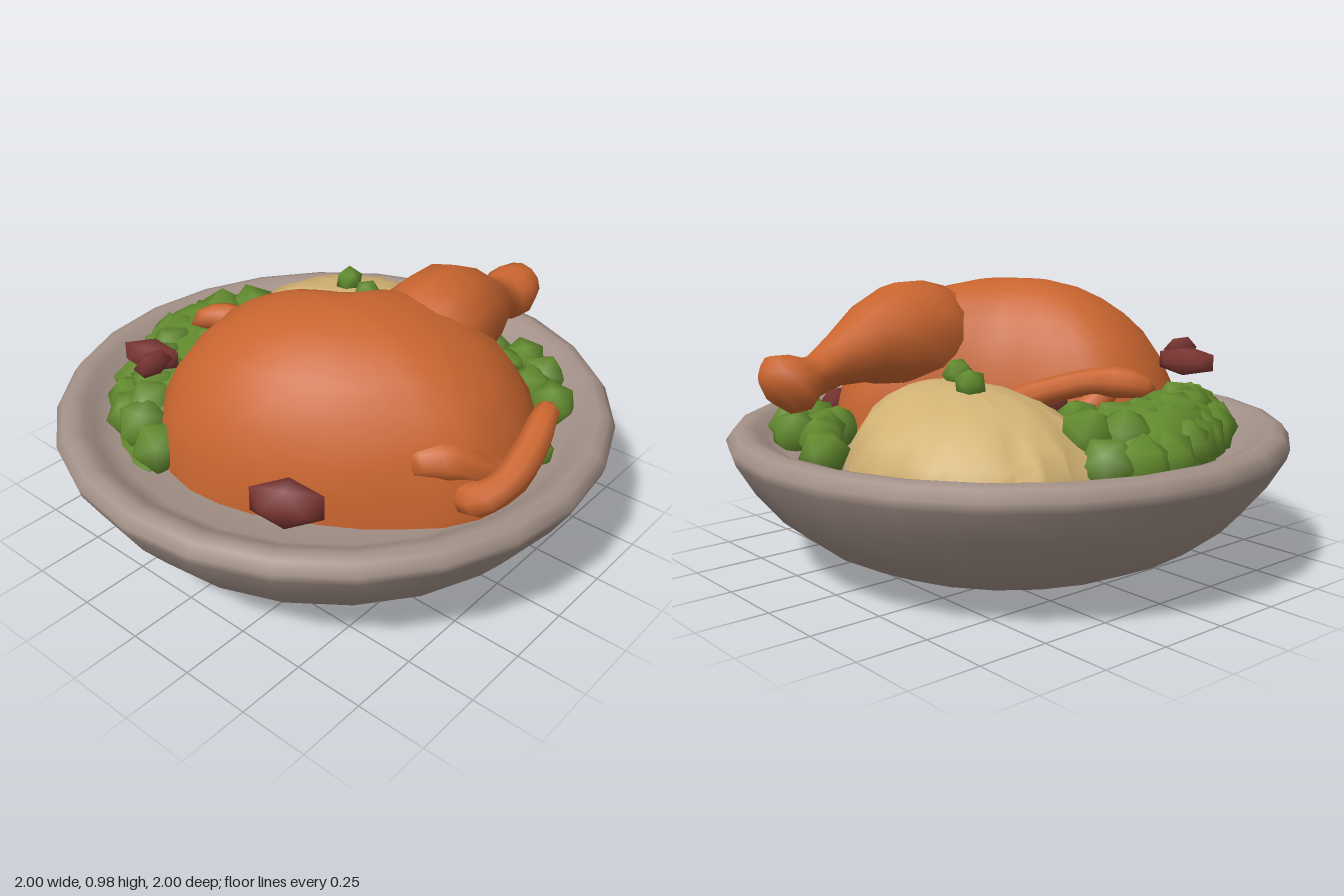
import * as THREE from 'three';
import { mergeVertices } from 'three/addons/utils/BufferGeometryUtils.js';

const V = (x, y, z) => new THREE.Vector3(x, y, z);
const paint = (name, color) => {
  const m = new THREE.MeshStandardMaterial({ color });
  m.name = name;
  return m;
};

// Small seeded random source
function seeded(seed) {
  return () => {
    seed = (seed * 16807) % 2147483647;
    return seed / 2147483647;
  };
}

// Weld the corners so the surface shades smoothly
function smooth(geo) {
  geo.deleteAttribute('uv');
  geo.deleteAttribute('normal');
  const g = mergeVertices(geo, 1e-4);
  g.computeVertexNormals();
  return g;
}

// Skin closed rings of points, one after the other
function loft(rings) {
  const n = rings[0].length, index = [];
  for (let i = 0; i < rings.length - 1; i++) {
    for (let j = 0; j < n; j++) {
      const a = i * n + j, b = i * n + (j + 1) % n;
      index.push(a, a + n, b, b, a + n, b + n);
    }
  }
  const g = new THREE.BufferGeometry().setFromPoints(rings.flat());
  g.setIndex(index);
  return smooth(g);
}

// Rounded mound rising from a plan outline of [x, z] points (clockwise from above) to a peak
function mound(outline, peak, base, rows, sides, full, bump) {
  const plan = new THREE.CatmullRomCurve3(outline.map(([x, z]) => V(x, 0, z)), true).getSpacedPoints(sides).slice(0, sides);
  const rings = [];
  for (let i = 0; i <= rows; i++) {
    const a = (i / rows) * Math.PI / 2;
    rings.push(plan.map((p, j) => {
      const k = i === rows ? 0 : Math.cos(a) ** full * (1 + bump(i, j));
      return V(peak.x + (p.x - peak.x) * k, base + (peak.y - base) * Math.sin(a), peak.z + (p.z - peak.z) * k);
    }));
  }
  return loft(rings);
}

// Tapered tube through [x, y, z] points
function limb(points, radii, segs = 16, sides = 8) {
  const path = new THREE.CatmullRomCurve3(points.map(p => V(...p)));
  const g = new THREE.TubeGeometry(path, segs, 1, sides);
  const pos = g.attributes.position, v = V(0, 0, 0);
  for (let i = 0; i <= segs; i++) {
    const c = path.getPointAt(i / segs);
    const f = (i / segs) * (radii.length - 1), k = Math.min(Math.floor(f), radii.length - 2);
    const end = i === 0 || i === segs;
    const r = end ? 0 : THREE.MathUtils.lerp(radii[k], radii[k + 1], f - k);
    for (let j = 0; j <= sides; j++) {
      const id = i * (sides + 1) + j;
      v.fromBufferAttribute(pos, id).sub(c).multiplyScalar(r).add(c);
      pos.setXYZ(id, v.x, v.y, v.z);
    }
  }
  return smooth(g);
}

export function createModel() {
  const root = new THREE.Group();
  root.name = 'roastDinner';
  const stone = paint('bowl stoneware', 0xa39188);
  const roast = paint('roast skin', 0xc9652f);
  const mash = paint('mashed potato', 0xd2b274);
  const green = paint('green vegetable', 0x638c2e);
  const red = paint('red berry', 0x7a3532);
  const add = (name, geo, mat, parent = root) => {
    const m = new THREE.Mesh(geo, mat);
    m.name = name;
    parent.add(m);
    return m;
  };
  const group = name => {
    const g = new THREE.Group();
    g.name = name;
    root.add(g);
    return g;
  };
  const rnd = seeded(41);

  // Bowl: flat foot, flared wall, rolled rim and shallow inside
  const profile = [[0, 0], [0.4, 0], [0.57, 0.045], [0.71, 0.11], [0.84, 0.21], [0.93, 0.32],
    [0.99, 0.42], [1, 0.455], [0.975, 0.49], [0.94, 0.5], [0.9, 0.49], [0.87, 0.46], [0.8, 0.42], [0.6, 0.4], [0, 0.4]];
  add('bowl', new THREE.LatheGeometry(profile.map(([x, y]) => new THREE.Vector2(x, y)), 24), stone);

  // Roast bird
  const bird = group('roastBird');
  add('body', mound([[-0.2, -0.4], [-0.1, -0.32], [0, -0.18], [0.08, -0.02], [0.2, 0.1], [0.4, 0.27], [0.42, 0.47],
    [0.3, 0.67], [0.1, 0.8], [-0.08, 0.83], [-0.25, 0.79], [-0.36, 0.68], [-0.5, 0.52], [-0.6, 0.36], [-0.68, 0.17],
    [-0.7, 0], [-0.66, -0.18], [-0.57, -0.31], [-0.46, -0.38], [-0.3, -0.42]],
  V(-0.18, 0.98, 0.17), 0.42, 9, 30, 0.9, () => (rnd() - 0.5) * 0.02), roast, bird);

  // Drumstick: [x, centre y, centre z, half height, half depth]
  const legRings = [[-0.04, 0.78, 0.32, 0, 0], [-0.02, 0.78, 0.32, 0.1, 0.11], [0.05, 0.78, 0.315, 0.175, 0.18],
    [0.15, 0.78, 0.31, 0.2, 0.21], [0.28, 0.79, 0.3, 0.19, 0.19], [0.42, 0.775, 0.295, 0.14, 0.15],
    [0.56, 0.73, 0.27, 0.09, 0.095], [0.66, 0.69, 0.245, 0.072, 0.078], [0.71, 0.67, 0.23, 0.09, 0.1],
    [0.76, 0.675, 0.23, 0.1, 0.11], [0.82, 0.695, 0.24, 0.08, 0.085], [0.85, 0.7, 0.24, 0.035, 0.04], [0.85, 0.7, 0.24, 0, 0]];
  add('drumstick', loft(legRings.map(([x, y, z, h, d]) => Array.from({ length: 12 }, (_, j) => {
    const a = (j / 12) * Math.PI * 2;
    return V(x, y + h * Math.cos(a), z - d * Math.sin(a));
  }))), roast, bird);

  // Wings: a folded upper part and a curling tip
  add('frontWing', limb([[-0.18, 0.5, 0.68], [-0.25, 0.53, 0.8], [-0.18, 0.58, 0.855], [-0.06, 0.65, 0.86], [0.04, 0.71, 0.84], [0.1, 0.73, 0.83]],
    [0.06, 0.06, 0.05, 0.055, 0.05, 0.035]), roast, bird);
  add('frontWingUpper', limb([[-0.34, 0.62, 0.58], [-0.25, 0.63, 0.68], [-0.15, 0.57, 0.77], [-0.02, 0.53, 0.82]],
    [0.06, 0.075, 0.05, 0.03]), roast, bird);
  add('backWing', limb([[-0.2, 0.65, -0.53], [-0.13, 0.67, -0.49], [-0.07, 0.67, -0.37], [0.03, 0.64, -0.27], [0.1, 0.6, -0.18], [0.1, 0.54, -0.06], [0.02, 0.5, 0.02]],
    [0.03, 0.055, 0.045, 0.045, 0.05, 0.05, 0.04]), roast, bird);
  add('backWingUpper', limb([[-0.18, 0.66, -0.27], [-0.14, 0.64, -0.35], [-0.06, 0.58, -0.36], [0.03, 0.5, -0.28]],
    [0.04, 0.05, 0.05, 0.04]), roast, bird);

  // Mashed potato with a ridged edge and an uneven top
  add('mashedPotato', mound([[0.2, -0.69], [0.4, -0.71], [0.58, -0.62], [0.71, -0.45], [0.77, -0.25], [0.73, -0.06],
    [0.62, 0.1], [0.42, 0.19], [0.22, 0.14], [0.08, -0.05], [0.02, -0.28], [0.07, -0.52]],
  V(0.37, 0.69, -0.1), 0.38, 8, 48, 0.9, (i, j) => (j % 2 ? 0.02 : -0.035) + (rnd() - 0.5) * 0.09), mash);

  // Heap of green vegetables behind the bird, its lumps sunk into one mass
  const greens = group('greens');
  add('greensHeap', mound([[-0.72, -0.2], [-0.66, -0.42], [-0.53, -0.59], [-0.3, -0.71], [-0.1, -0.81], [0.1, -0.82],
    [0.25, -0.72], [0.26, -0.5], [0.1, -0.36], [-0.2, -0.34], [-0.5, -0.2]], V(-0.12, 0.62, -0.57), 0.38, 6, 32, 0.65,
  () => (rnd() - 0.5) * 0.06), green, greens);
  const nugget = smooth(new THREE.IcosahedronGeometry(1, 0));
  const pea = (x, y, z, r) => {
    const m = add('pea', nugget, green, greens);
    m.position.set(x, y, z);
    m.scale.set(r, r, r);
    m.rotation.set(rnd() * 3, rnd() * 3, 0);
  };
  const rows = [
    [[[-0.65, -0.22], [-0.59, -0.41], [-0.47, -0.55], [-0.25, -0.65], [-0.08, -0.74], [0.08, -0.75], [0.19, -0.69]], 11, 0.49, 0.1],
    [[[-0.54, -0.37], [-0.36, -0.52], [-0.12, -0.62], [0.08, -0.65], [0.17, -0.58]], 8, 0.54, 0.1],
    [[[-0.4, -0.44], [-0.2, -0.5], [0, -0.5], [0.08, -0.44]], 5, 0.55, 0.085]];
  for (const [pts, count, y, r] of rows) {
    const path = new THREE.CatmullRomCurve3(pts.map(([x, z]) => V(x, y, z)));
    for (const p of path.getSpacedPoints(count - 1)) pea(p.x, p.y + (rnd() - 0.5) * 0.03, p.z, r);
  }

  // Loose peas beside the drumstick and on the potato
  for (const [x, y, z, r] of [[0.77, 0.48, 0.01, 0.085], [0.66, 0.47, 0.38, 0.09], [0.56, 0.47, 0.36, 0.085],
    [0.6, 0.47, 0.5, 0.09], [0.5, 0.47, 0.51, 0.09], [0.46, 0.47, 0.63, 0.09], [0.64, 0.47, 0.24, 0.085],
    [0.48, 0.46, 0.4, 0.09], [0.2, 0.45, 0.74, 0.06],
    [0.39, 0.7, -0.265, 0.055], [0.33, 0.71, -0.125, 0.055]]) pea(x, y, z, r);

  // Red berries tucked around the bird: position, half sizes, turn
  const berries = group('berries');
  for (const [x, y, z, sx, sy, sz, turn] of [[-0.5, 0.7, -0.4, 0.065, 0.055, 0.12, 0.35], [-0.57, 0.73, -0.31, 0.08, 0.045, 0.04, 0],
    [-0.65, 0.53, 0.37, 0.07, 0.085, 0.14, 0.5], [0.3, 0.49, 0.68, 0.065, 0.065, 0.06, 0], [0, 0.6, -0.2, 0.055, 0.07, 0.1, 0.3]]) {
    const m = add('berry', nugget, red, berries);
    m.position.set(x, y, z);
    m.scale.set(sx, sy, sz);
    m.rotation.y = turn;
  }
  return root;
}
